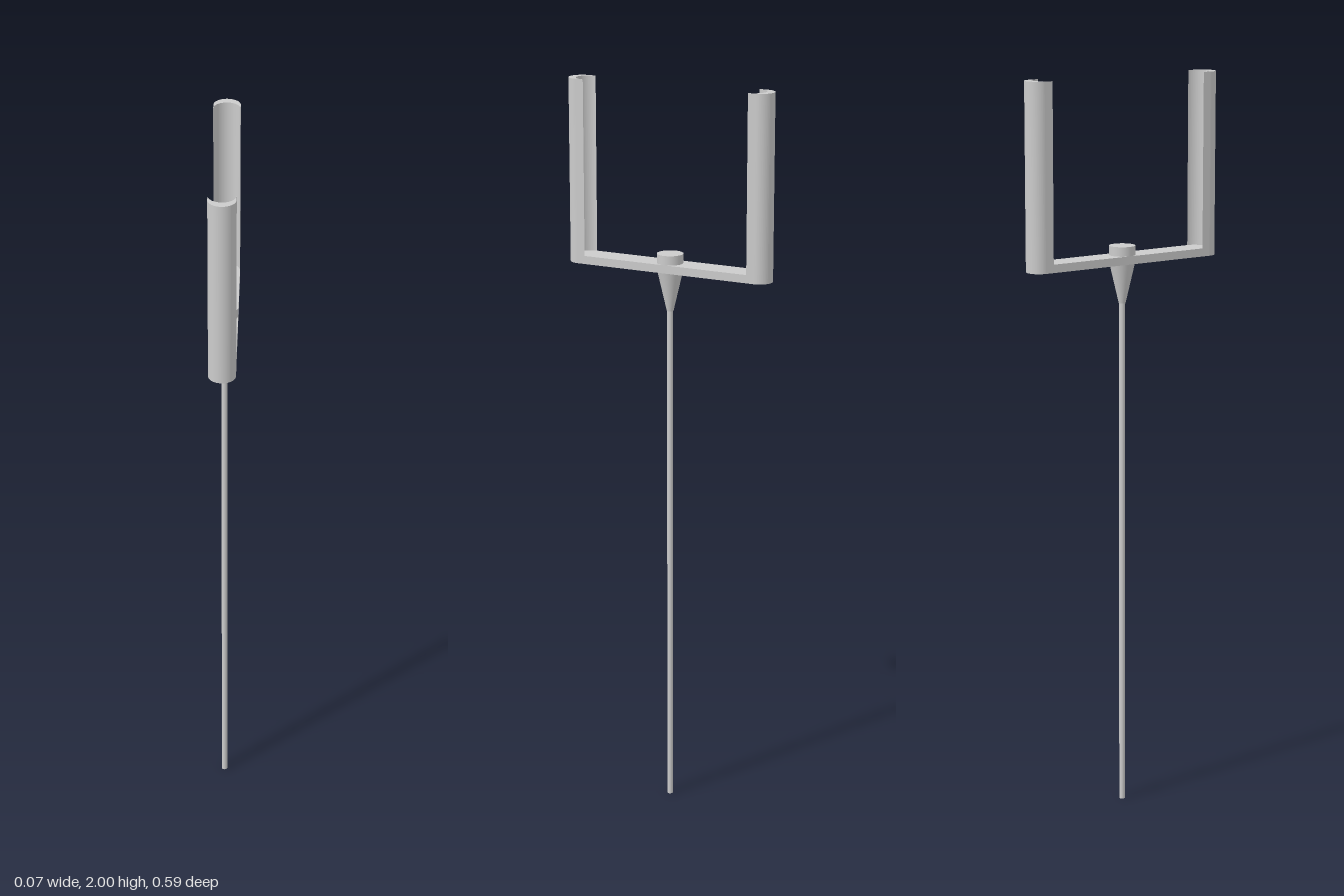
import * as THREE from 'three';

const R = 0.035;         // half width of the fork
const END = 0.259;       // z of the rounded bar ends
const HOLLOW = 0.237;    // z of the hollow's centre in each prong
const BAR_Y = 1.508;
const BAR_H = 0.022;

export function createModel() {
  const group = new THREE.Group();
  const material = new THREE.MeshStandardMaterial({ color: 0xcccccc });

  const add = (name, geometry, y = 0) => {
    const mesh = new THREE.Mesh(geometry, material);
    mesh.name = name;
    mesh.position.y = y;
    group.add(mesh);
    return mesh;
  };

  // Extrude a plan outline (shape x, y -> model x, -z) upwards
  const rise = (shape, height) =>
    new THREE.ExtrudeGeometry(shape, { depth: height, bevelEnabled: false, curveSegments: 32 })
      .rotateX(-Math.PI / 2);

  // Slim pole and the flared socket that carries the fork
  add('pole', new THREE.CylinderGeometry(0.008, 0.008, 1.42, 32), 0.71);
  add('socket', new THREE.CylinderGeometry(0.034, 0.009, 0.108, 48), BAR_Y - 0.054);

  // Flat crossbar with rounded ends
  const bar = new THREE.Shape();
  bar.absarc(0, END, R, 0, Math.PI);
  bar.absarc(0, -END, R, Math.PI, Math.PI * 2);
  bar.closePath();
  add('crossbar', rise(bar, BAR_H), BAR_Y);

  // Round cap in the middle of the bar
  const capBase = BAR_Y + BAR_H;
  add('cap', new THREE.CylinderGeometry(R, R, 0.025, 48), capBase + 0.0125);

  // Crescent prongs, hollow sides facing each other
  const crescent = new THREE.Shape();
  crescent.moveTo(R, HOLLOW);
  crescent.absarc(0, END, R, 0, Math.PI);
  crescent.absarc(0, HOLLOW, R, Math.PI, 0, true);
  for (const [name, turn] of [['backProng', 0], ['frontProng', Math.PI]]) {
    add(name, rise(crescent, 2 - capBase), capBase).rotation.y = turn;
  }

  return group;
}
